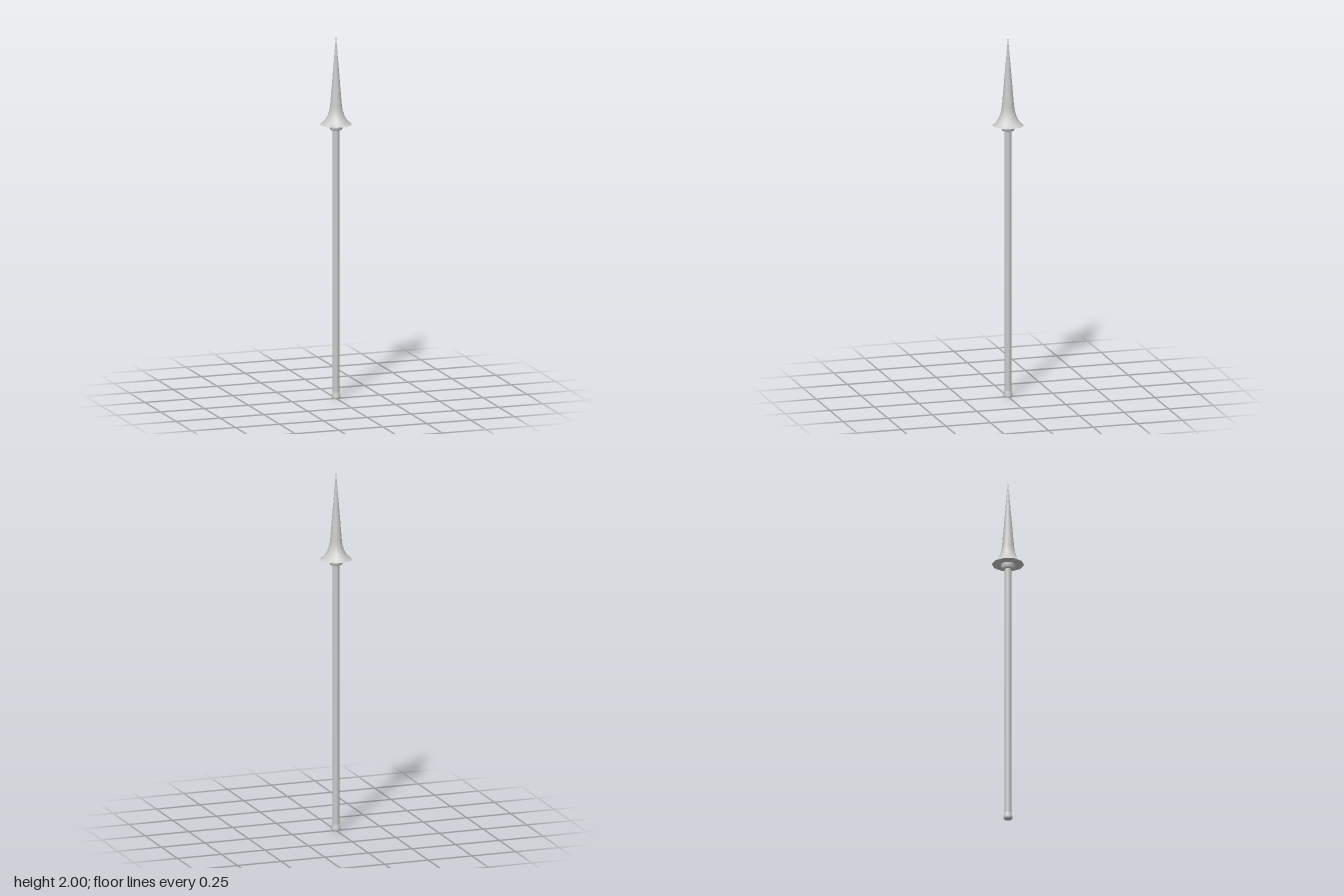
import * as THREE from 'three';

const SIDES = 10;
const material = new THREE.MeshStandardMaterial({ color: 0xcccccc });

// Turned part: each run of [radius, y] points, listed bottom to top, is smooth; runs meet at sharp edges
function turned(name, ...runs) {
  const part = new THREE.Group();
  part.name = name;
  for (const run of runs) {
    const profile = run.map(([r, y]) => new THREE.Vector2(r, y));
    const mesh = new THREE.Mesh(new THREE.LatheGeometry(profile, SIDES, Math.PI / 2), material);
    mesh.name = name + 'Surface';
    part.add(mesh);
  }
  return part;
}

export function createModel() {
  const model = new THREE.Group();
  model.name = 'lance';

  // Flared foot with a slightly bevelled end
  model.add(turned('buttCap',
    [[0, 0], [0.022, 0]],
    [[0.022, 0], [0.025, 0.006], [0.024, 0.014], [0.019, 0.036]]));

  // Long straight pole
  model.add(turned('shaft', [[0.019, 0.036], [0.019, 1.49]]));

  // Ring under the guard
  model.add(turned('collar',
    [[0.019, 1.478], [0.031, 1.478]],
    [[0.031, 1.478], [0.037, 1.488], [0.037, 1.507]]));

  // Flat underside, flared guard and long tapering point
  model.add(turned('guardUnderside', [[0.019, 1.507], [0.087, 1.507]]));
  model.add(turned('spearhead',
    [[0.087, 1.507], [0.065, 1.524], [0.049, 1.549], [0.038, 1.58], [0.033, 1.61], [0.017, 1.8], [0, 2]]));

  return model;
}
